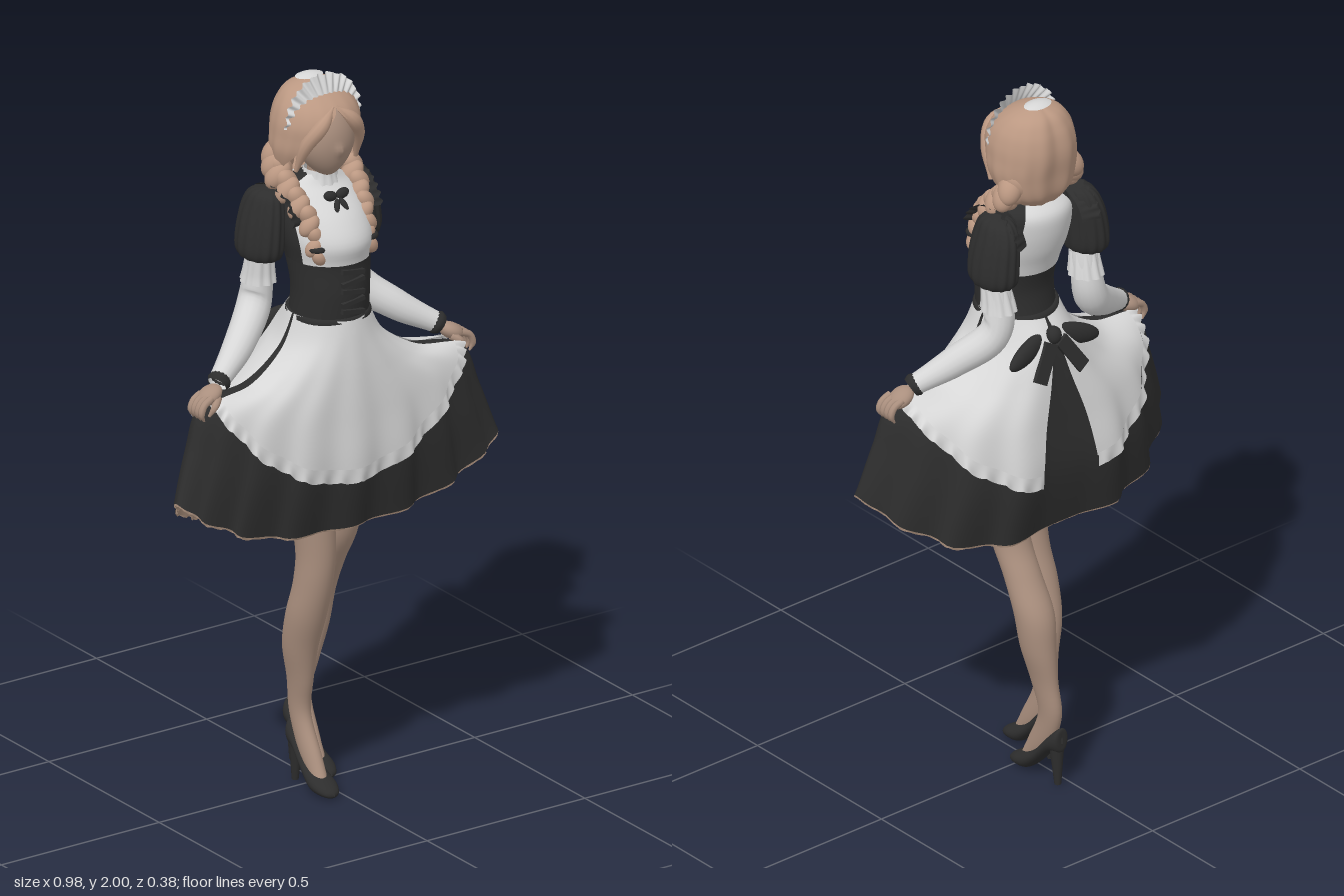
import * as THREE from 'three';
import { mergeVertices } from 'three/addons/utils/BufferGeometryUtils.js';

const { sin, cos, abs, exp, sign, PI, min, max, floor } = Math;
const V = (x, y, z) => new THREE.Vector3(x, y, z);
const lerp = THREE.MathUtils.lerp;
const mat = (name, color) => Object.assign(new THREE.MeshStandardMaterial({ color, side: THREE.DoubleSide }), { name });

// Smooth interpolation through rows of numbers, t in 0..1
function sample(rows, t) {
  const n = rows.length - 1, i = max(0, min(floor(t * n), n - 1)), f = t * n - i;
  const p = [max(i - 1, 0), i, i + 1, min(i + 2, n)].map((k) => rows[k]);
  return rows[i].map((_, k) => {
    const [a, b, c, d] = p.map((r) => r[k]);
    return b + 0.5 * f * (c - a + f * (2 * a - 5 * b + 4 * c - d + f * (3 * (b - c) + d - a)));
  });
}

// Surface from a rule fn(u, v) -> point
function surf(fn, nu, nv) {
  const pos = [], idx = [];
  for (let j = 0; j <= nv; j++) for (let i = 0; i <= nu; i++) pos.push(...fn(i / nu, j / nv).toArray());
  for (let j = 0; j < nv; j++) for (let i = 0; i < nu; i++) {
    const a = j * (nu + 1) + i, c = a + nu + 1;
    idx.push(a, a + 1, c, a + 1, c + 1, c);
  }
  let g = new THREE.BufferGeometry();
  g.setAttribute('position', new THREE.Float32BufferAttribute(pos, 3));
  g.setIndex(idx);
  g = mergeVertices(g, 1e-5);
  g.computeVertexNormals();
  return g;
}

// Level ellipses, bottom to top: [y, centreX, centreZ, radiusX, radiusZ]
const stack = (rows, ripple = 0, count = 0, nu = 28) => surf((u, v) => {
  const [y, cx, cz, rx, rz] = sample(rows, v), a = u * 2 * PI, k = 1 + ripple * cos(count * a);
  return V(cx + rx * k * sin(a), y, cz + rz * k * cos(a));
}, nu, (rows.length - 1) * 5);

// Round limb along a path with changing radius
function limb(pts, radii, nu = 16, nv = 30) {
  const curve = new THREE.CatmullRomCurve3(pts.map((p) => V(...p))), fr = curve.computeFrenetFrames(nv);
  const r = radii.map((x) => [x]);
  return surf((u, v) => {
    const k = Math.round(v * nv), a = u * 2 * PI, q = max(0, sample(r, v)[0]);
    return curve.getPoint(v).addScaledVector(fr.normals[k], q * cos(a)).addScaledVector(fr.binormals[k], q * sin(a));
  }, nu, nv);
}

// Skirt rule: [ySide, xSide, yMid, zFront, zBack] from waist to hem
const SKIRT = [
  [1.35, 0.1, 1.35, 0.155, -0.06], [1.26, 0.143, 1.29, 0.165, -0.105], [1.19, 0.25, 1.2, 0.175, -0.13],
  [1.168, 0.395, 1.08, 0.18, -0.155], [1.05, 0.445, 0.93, 0.18, -0.175], [0.915, 0.49, 0.768, 0.153, -0.152]];
function skirt(a, t, off = 0) {
  const [ys, xs, ym, zf, zb] = sample(SKIRT, t), s = abs(sin(a)), s3 = s ** 3, c = cos(a);
  const k = 1 + 0.06 * t * t * cos(18 * a) * (1 - s3), back = c < 0 ? sin(2 * a) ** 2 : 0;
  const notch = c < 0 ? 1 - 0.18 * t * exp(-((sin(a) / 0.15) ** 2)) : 1;
  const mid = (zf + zb) / 2, h = (zf - zb) / 2;
  return V((xs * k + off) * sin(a), lerp(ym, ys, s3) - 0.02 * t * back + off * 0.7 * s,
    mid + (0.09 + 0.025 * sin(a)) * s3 * t + h * k * notch * sign(c) * abs(c) ** 1.2 + off * c);
}
const apronEdge = (a) => 0.79 - 0.25 * sin(a) ** 2;

// Torso rule: [y, radiusX, zFront, zBack]
const TORSO = [
  [1.33, 0.102, 0.152, -0.05], [1.42, 0.1, 0.16, -0.04], [1.5, 0.107, 0.158, -0.06], [1.56, 0.118, 0.17, -0.085],
  [1.62, 0.118, 0.138, -0.1], [1.67, 0.108, 0.09, -0.1], [1.7, 0.08, 0.06, -0.07], [1.725, 0.045, 0.05, -0.03]];
const torso = (a0, a1, v0, v1, off = 0) => surf((u, v) => {
  const [y, rx, zf, zb] = sample(TORSO, lerp(v0, v1, v)), a = lerp(a0, a1, u);
  return V((rx + off) * sin(a), y, (zf + zb) / 2 + ((zf - zb) / 2 + off) * cos(a));
}, 40, 24);

// Hair rule: [y, radiusX, zFront, zBack, faceOpening]
const HAIR = [
  [1.69, 0.05, 0.01, -0.075, 1.7], [1.73, 0.1, 0.05, -0.105, 1.5], [1.79, 0.122, 0.09, -0.117, 1.0], [1.84, 0.121, 0.107, -0.125, 0.74],
  [1.88, 0.116, 0.109, -0.123, 0.3], [1.92, 0.1, 0.086, -0.111, 0], [1.955, 0.066, 0.034, -0.085, 0], [1.978, 0, -0.03, -0.03, 0]];

export function createModel() {
  const model = new THREE.Group();
  const skin = mat('skin', 0xaa8f7e), hair = mat('hair', 0xbb9882), white = mat('white cloth', 0xd6d6d6);
  const black = mat('black cloth', 0x2d2d2d), lining = mat('lining', 0x9e8573);
  const add = (name, geo, m, p = [0, 0, 0], sc = [1, 1, 1], rot = [0, 0, 0]) => {
    const o = new THREE.Mesh(geo, m);
    o.name = name;
    o.position.set(...p); o.scale.set(...sc); o.rotation.set(...rot);
    model.add(o);
  };
  const ball = new THREE.SphereGeometry(1, 24, 16);

  // Skirt, lining and hem ruffle
  add('skirt', surf((u, v) => skirt(u * 2 * PI, 1 - v), 144, 36), black);
  add('skirtLining', surf((u, v) => skirt(-u * 2 * PI, 1 - v, -0.008), 144, 30), lining);
  add('hemRuffle', surf((u, v) => {
    const a = u * 2 * PI;
    return skirt(a, 0.975 + (1 - v) * (0.035 + 0.012 * abs(sin(35 * a))), -0.004 + 0.003 * cos(70 * a));
  }, 288, 3), lining);

  // Apron: front panel and two back panels, each with a frilled edge
  const panels = [['frontApron', (t) => 0.18 * t - 1.5, (t) => 1.5 - 0.18 * t], ['leftBackApron', (t) => 1.6 + 0.1 * t, (t) => PI - 0.03 - 0.24 * t],
    ['rightBackApron', (t) => PI + 0.03 + 0.24 * t, (t) => 2 * PI - 1.6 - 0.1 * t]];
  for (const [name, from, to] of panels) {
    const at = (u, k) => lerp(from(k * 0.75), to(k * 0.75), u);
    add(name, surf((u, v) => {
      const a = at(u, 1 - v);
      return skirt(a, (1 - v) * apronEdge(a), 0.01);
    }, 90, 28), white);
    add(name + 'Frill', surf((u, v) => {
      const a = at(u, 1), k = 1 - v;
      return skirt(a, apronEdge(a) - 0.01 + k * (0.045 + 0.008 * abs(sin(26 * a))), 0.013 + 0.005 * k * cos(52 * a));
    }, 200, 4), white);
  }

  // Bodice: corset, blouse front, back panel and dark sides
  add('corset', torso(0, 2 * PI, 0, 0.3, 0.004), black);
  add('blouseFront', torso(-1.25, 1.25, 0.28, 1), white);
  add('backPanel', torso(PI - 0.75, PI + 0.75, 0.25, 1, 0.006), white);
  for (const s of [-1, 1]) add('bodiceSide', torso(s * (PI / 2 + 0.4) - 0.78, s * (PI / 2 + 0.4) + 0.78, 0.28, 1, -0.002), black);
  for (let i = 0; i < 5; i++) add('corsetLace', new THREE.BoxGeometry(0.07, 0.012, 0.012), black, [0, 1.375 + i * 0.028, 0.164], [1, 1, 1], [0, 0, i % 2 ? 0.15 : -0.15]);
  add('waistBand', new THREE.TorusGeometry(1, 0.1, 8, 40), black, [0, 1.345, 0.05], [0.103, 0.105, 0.14], [PI / 2, 0, 0]);

  // Neck, collar and collar bow
  add('neck', stack([[1.68, 0, 0.01, 0.036, 0.036], [1.73, 0, 0.015, 0.034, 0.034], [1.79, 0, 0.02, 0.037, 0.038]]), skin);
  add('collar', stack([[1.695, 0, 0.012, 0.056, 0.052], [1.715, 0, 0.012, 0.047, 0.047], [1.735, 0, 0.014, 0.042, 0.042]], 0.03, 14, 56), white);
  for (const s of [-1, 1]) {
    add('collarBowLoop', ball, black, [s * 0.019, 1.678, 0.088], [0.02, 0.014, 0.012], [0, 0, s * 0.25]);
    add('collarBowTail', ball, black, [s * 0.011, 1.655, 0.107], [0.008, 0.02, 0.008], [-0.5, 0, s * 0.35]);
  }

  // Head with narrowed chin and small nose
  const headGeo = new THREE.SphereGeometry(1, 48, 36), hp = headGeo.attributes.position;
  for (let i = 0; i < hp.count; i++) {
    const x = hp.getX(i), y = hp.getY(i), z = hp.getZ(i), low = max(0, -y);
    const nose = z > 0 ? 0.13 * exp(-((x / 0.12) ** 2) - ((y + 0.2) / 0.13) ** 2) : 0;
    hp.setX(i, x * (1 - 0.35 * low * low));
    hp.setZ(i, z * (1 - 0.15 * low) + 0.15 * low + nose);
  }
  headGeo.computeVertexNormals();
  add('head', headGeo, skin, [0, 1.828, 0.028], [0.084, 0.108, 0.08]);

  // Hair with centre parting, pale crown patch, braids
  add('hair', surf((u, v) => {
    const [y, rx, zf, zb, o] = sample(HAIR, v), a = lerp(max(0, o), 2 * PI - max(0, o), u);
    const k = (1 + 0.015 * cos(16 * a) * (1 - v)) * (cos(a) < 0 ? 1 - 0.1 * exp(-((sin(a) / 0.2) ** 2)) : 1);
    return V(rx * k * sin(a), y, (zf + zb) / 2 + (zf - zb) / 2 * k * cos(a));
  }, 96, 42), hair);
  add('crownPatch', new THREE.SphereGeometry(1, 24, 6, 0, 2 * PI, 0, 0.38), white, [0, 1.864, -0.036], [0.11, 0.118, 0.075]);
  for (const s of [-1, 1]) {
    const path = new THREE.CatmullRomCurve3([V(s * 0.085, 1.775, -0.05), V(s * 0.102, 1.735, -0.03), V(s * 0.1, 1.685, 0.03),
      V(s * 0.086, 1.62, 0.092), V(s * 0.08, 1.53, 0.12)]);
    for (let i = 0; i < 14; i++) {
      const t = i / 13, p = path.getPoint(t), r = lerp(0.038, 0.022, t), w = i % 2 ? 1 : -1;
      add('braidStrand', ball, hair, [p.x + w * r * 0.22, p.y, p.z], [r * 0.9, r * 1.3, r * 0.9], [0.3, 0, w * 0.6]);
    }
    add('braidTie', new THREE.TorusGeometry(0.021, 0.008, 8, 16), black, [s * 0.08, 1.556, 0.115], [1, 1, 1], [PI / 2, 0, 0]);
    add('sideLock', limb([[s * 0.004, 1.922, 0.08], [s * 0.045, 1.885, 0.093], [s * 0.08, 1.83, 0.07], [s * 0.095, 1.75, 0.04]], [0.004, 0.019, 0.019, 0.006], 10, 16), hair);
  }

  // Frilled headband
  add('headband', surf((u, v) => {
    const a = lerp(1.6, -1.6, u), r = 0.07 + v * (0.056 + 0.005 * abs(sin(9 * a)));
    return V(r * 0.92 * sin(a), 1.87 + r * cos(a), 0.05 - 0.022 * v + 0.006 * v * cos(30 * a));
  }, 120, 5), white);

  for (const s of [-1, 1]) {
    // Puff sleeve with shoulder frill
    add('puffSleeve', stack([[1.515, s * 0.15, -0.04, 0.03, 0.04], [1.5, s * 0.153, -0.04, 0.045, 0.06], [1.525, s * 0.154, -0.04, 0.055, 0.078],
      [1.58, s * 0.15, -0.04, 0.054, 0.08], [1.64, s * 0.142, -0.04, 0.047, 0.072], [1.68, s * 0.135, -0.035, 0.034, 0.05],
      [1.692, s * 0.125, -0.03, 0, 0]], 0.03, 14, 84), black);
    add('shoulderFrill', surf((u, v) => {
      const a = lerp(-1.35, 1.35, u), r = 0.88 + v * 0.2;
      return V(s * (0.095 + 0.045 * v) + 0.005 * v * cos(30 * a), 1.595 + 0.1 * r * cos(a), -0.015 + 0.105 * r * sin(a));
    }, 80, 3), black);

    // Long sleeve, elbow frill, cuff
    add('sleeve', limb([[s * 0.152, 1.53, -0.04], [s * 0.148, 1.44, -0.055], [s * 0.163, 1.355, -0.055], [s * 0.25, 1.28, 0], [s * 0.35, 1.22, 0.052]],
      [0.036, 0.04, 0.046, 0.041, 0.028]), white);
    add('elbowFrill', stack([[1.425, s * 0.148, -0.055, 0.046, 0.05], [1.45, s * 0.148, -0.052, 0.042, 0.045], [1.49, s * 0.15, -0.045, 0.037, 0.04]], 0.06, 10, 60), white);
    add('cuff', limb([[s * 0.335, 1.23, 0.045], [s * 0.345, 1.223, 0.05], [s * 0.355, 1.216, 0.054]], [0.027, 0.032, 0.027], 16, 6), black);

    // Hand pinching the skirt
    add('palm', ball, skin, [s * 0.383, 1.195, 0.06], [0.038, 0.022, 0.032], [0, 0, -s * 0.5]);
    for (let i = 0; i < 4; i++) {
      const z = 0.04 + i * 0.016;
      add('finger', limb([[s * 0.395, 1.197, z], [s * 0.42, 1.185, z + 0.003], [s * 0.43, 1.162, z + 0.004], [s * 0.42, 1.14, z + 0.002]], [0.01, 0.0095, 0.009, 0.003], 8, 10), skin);
    }
    add('thumb', limb([[s * 0.37, 1.19, 0.08], [s * 0.39, 1.175, 0.096], [s * 0.405, 1.15, 0.09]], [0.012, 0.01, 0.004], 8, 8), skin);

    // Back bow
    add('bowLoop', ball, black, [s * 0.075, 1.285, -0.09], [0.08, 0.03, 0.02], [0, s * 0.2, -s * 0.3]);
    add('bowTail', new THREE.BoxGeometry(0.04, 0.11, 0.012), black, [s * 0.045, 1.25, -0.122], [1, 1, 1], [0.25, 0, s * 0.55]);
  }
  add('bowKnot', ball, black, [0, 1.31, -0.1], [0.022, 0.025, 0.022]);

  // Legs: right one steps forward, left one trails
  add('leftLeg', stack([[0.04, 0.03, -0.04, 0.02, 0.025], [0.1, 0.031, -0.085, 0.024, 0.04], [0.2, 0.034, -0.127, 0.025, 0.038], [0.3, 0.044, -0.115, 0.03, 0.045],
    [0.4, 0.056, -0.105, 0.044, 0.053], [0.5, 0.06, -0.092, 0.052, 0.056], [0.6, 0.062, -0.045, 0.05, 0.052],
    [0.7, 0.064, 0.003, 0.053, 0.056], [0.85, 0.07, 0.02, 0.063, 0.07], [1.05, 0.07, 0.03, 0.072, 0.08]]), skin);
  add('rightLeg', stack([[0.04, -0.044, 0.075, 0.02, 0.025], [0.1, -0.043, 0.03, 0.024, 0.04], [0.2, -0.045, -0.012, 0.025, 0.036], [0.3, -0.052, -0.002, 0.031, 0.043],
    [0.4, -0.061, 0.012, 0.045, 0.053], [0.5, -0.063, 0.042, 0.053, 0.057], [0.6, -0.059, 0.068, 0.051, 0.055],
    [0.7, -0.057, 0.075, 0.053, 0.056], [0.85, -0.068, 0.06, 0.063, 0.068], [1.05, -0.07, 0.04, 0.072, 0.08]]), skin);

  // High-heeled shoes: [distance from heel, bottom, top, half width]
  const SHOE = [[0, 0.12, 0.15, 0.002], [0.004, 0.1, 0.172, 0.022], [0.04, 0.088, 0.14, 0.028], [0.085, 0.04, 0.088, 0.031],
    [0.125, 0.006, 0.062, 0.036], [0.16, 0.002, 0.044, 0.034], [0.187, 0.003, 0.026, 0.02], [0.196, 0.01, 0.015, 0.001]];
  for (const [name, x, z] of [['left', 0.031, -0.172], ['right', -0.042, -0.056]]) {
    add(name + 'Shoe', surf((u, v) => {
      const [d, b, t, w] = sample(SHOE, v), a = u * 2 * PI;
      return V(x - w * sin(a), (b + t) / 2 + (t - b) / 2 * cos(a), z + d);
    }, 24, 35), black);
    add(name + 'Heel', new THREE.CylinderGeometry(0.021, 0.009, 0.125, 14), black, [x, 0.0625, z + 0.02], [1, 1, 1], [0.04, 0, 0]);
  }
  return model;
}
